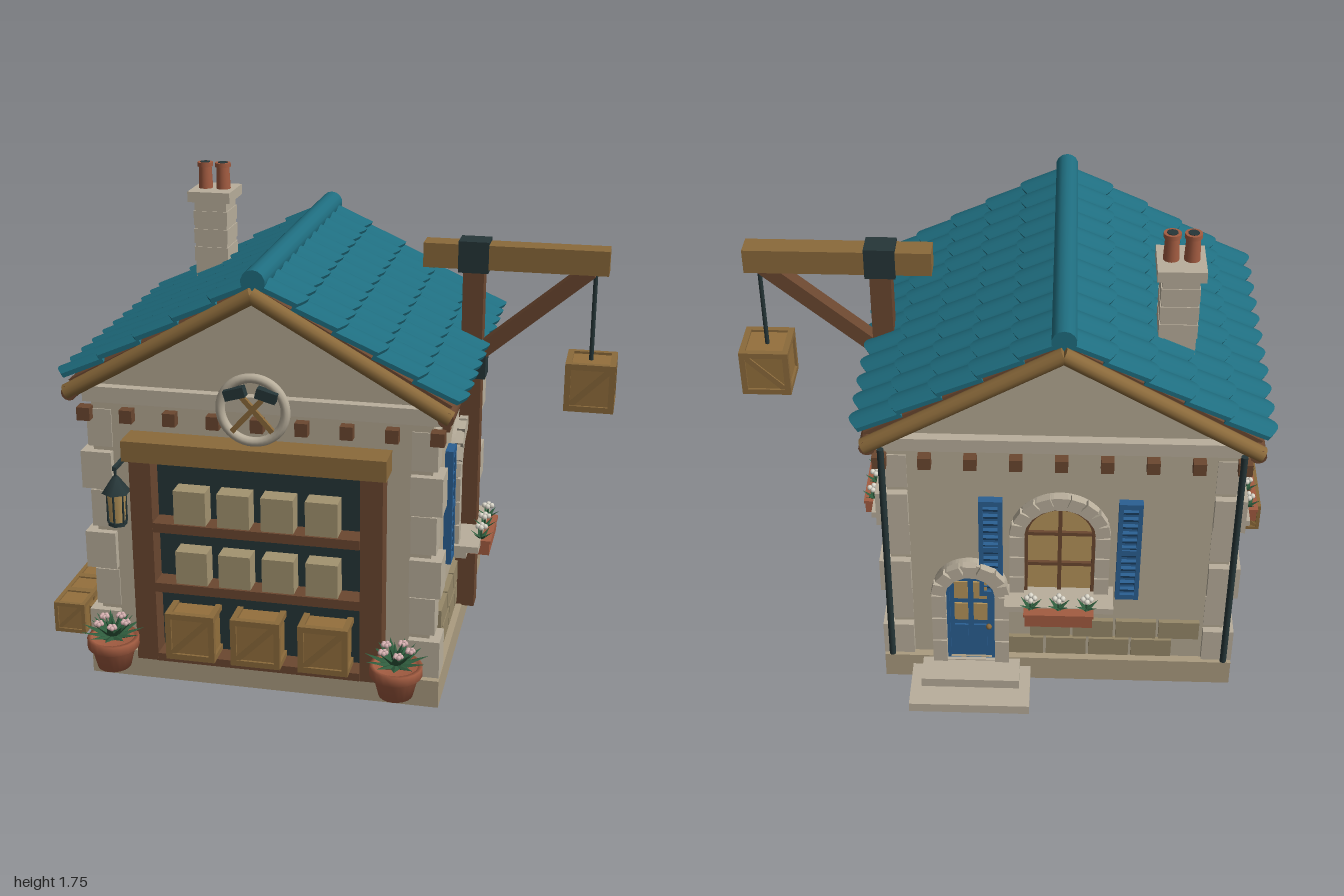
import * as THREE from 'three';

const CX = -0.18; // house centre line
const mat = (color, extra = {}) => new THREE.MeshStandardMaterial({ color, ...extra });
const M = {
  wall: mat(0xb6aa94), trim: mat(0xb9af9c), plinth: mat(0xab9c80), stone: mat(0x978969),
  roof: mat(0x1f6e80, { side: THREE.DoubleSide }), oak: mat(0x8b6a3b), wood: mat(0x6b4730),
  crate: mat(0x94703d), dark: mat(0x263638), blue: mat(0x2a5f92), clay: mat(0xa35c41),
  glass: mat(0xb5945a), parcel: mat(0xa39370), leaf: mat(0x2f5c3d, { flatShading: true }),
  petal: mat(0xd9b3b3), white: mat(0xe0dccf),
};

function add(parent, name, geo, m, x = 0, y = 0, z = 0) {
  const mesh = new THREE.Mesh(geo, m);
  mesh.name = name;
  mesh.position.set(x, y, z);
  parent.add(mesh);
  return mesh;
}
const box = (p, name, m, w, h, d, x, y, z) => add(p, name, new THREE.BoxGeometry(w, h, d), m, x, y, z);
const cyl = (p, name, m, r0, r1, h, x, y, z, n = 16) => add(p, name, new THREE.CylinderGeometry(r0, r1, h, n), m, x, y, z);
function group(parent, name, x = 0, y = 0, z = 0, ry = 0) {
  const g = new THREE.Group();
  g.name = name;
  g.position.set(x, y, z);
  g.rotation.y = ry;
  parent.add(g);
  return g;
}
// straight bar between two points in a plane of constant z
function bar(p, name, m, x0, y0, x1, y1, z, w, d) {
  const b = box(p, name, m, Math.hypot(x1 - x0, y1 - y0), w, d, (x0 + x1) / 2, (y0 + y1) / 2, z);
  b.rotation.z = Math.atan2(y1 - y0, x1 - x0);
  return b;
}
function archPath(P, r, y0, ySpring) {
  const s = new P();
  s.moveTo(-r, y0);
  s.lineTo(r, y0);
  s.lineTo(r, ySpring);
  s.absarc(0, ySpring, r, 0, Math.PI, false);
  s.lineTo(-r, y0);
  return s;
}
function arch(p, name, m, r, inner, y0, ys, depth, z) {
  const s = archPath(THREE.Shape, r, y0, ys);
  if (inner) s.holes.push(archPath(THREE.Path, inner, y0 + 0.004, ys));
  return add(p, name, new THREE.ExtrudeGeometry(s, { depth, bevelEnabled: false, curveSegments: 16 }), m, 0, 0, z);
}
// wedge stones round an arch and blocks down its jambs
function archStones(p, r, y0, ys, n, z) {
  for (let i = 0; i < n; i++) {
    const a = Math.PI * (i + 0.5) / n;
    const b = box(p, 'archStone', M.trim, 0.052, Math.PI * r / n * 0.92, 0.03, Math.cos(a) * r, ys + Math.sin(a) * r, z);
    b.rotation.z = a;
  }
  const h = (ys - y0) / 3;
  for (const s of [-1, 1]) for (let i = 0; i < 3; i++)
    box(p, 'jambStone', M.trim, 0.052, h * 0.94, 0.03, s * r, y0 + h * (i + 0.5), z);
}
function crate(parent, s, x, y, z) {
  const g = group(parent, 'crate', x, y, z), h = s / 2, t = s * 0.12, e = h - t / 2;
  box(g, 'crateCore', M.crate, s * 0.9, s * 0.9, s * 0.9, 0, 0, 0);
  for (const a of [-e, e]) for (const b of [-e, e]) {
    box(g, 'crateRail', M.oak, s, t, t, 0, a, b);
    box(g, 'crateRail', M.oak, t, s, t, a, 0, b);
    box(g, 'crateRail', M.oak, t, t, s, a, b, 0);
  }
  for (const k of [-1, 1]) bar(g, 'crateBrace', M.oak, -e, -e, e, e, k * (h - t * 0.4), t, t * 0.5);
}
// radial tuft of pointed leaves
function tuft(p, n, len, tilt, x, y, z) {
  const geo = new THREE.ConeGeometry(len * 0.22, len, 4);
  geo.translate(0, len / 2, 0);
  geo.scale(1, 1, 0.4);
  for (let i = 0; i < n; i++) {
    const holder = group(p, 'leaf', x, y, z, i / n * Math.PI * 2 + tilt);
    add(holder, 'leafBlade', geo, M.leaf).rotation.x = tilt;
  }
}
function pottedPlant(parent, x) {
  const g = group(parent, 'pottedPlant', x, 0.1, 0.705);
  const pts = [[0, 0], [0.06, 0], [0.08, 0.08], [0.093, 0.08], [0.093, 0.115], [0.078, 0.115], [0.075, 0.1], [0, 0.1]];
  add(g, 'pot', new THREE.LatheGeometry(pts.map(q => new THREE.Vector2(...q)), 20), M.clay);
  tuft(g, 11, 0.12, 1.25, 0, 0.11, 0);
  tuft(g, 9, 0.105, 0.8, 0, 0.11, 0);
  tuft(g, 6, 0.085, 0.35, 0, 0.11, 0);
  for (let i = 0; i < 5; i++) {
    const a = i * 1.257, f = group(g, 'flower', Math.cos(a) * 0.05, 0.175, Math.sin(a) * 0.05);
    for (let k = 0; k < 5; k++)
      add(f, 'petal', new THREE.SphereGeometry(0.009, 6, 4), M.petal, Math.cos(k * 1.257) * 0.011, 0, Math.sin(k * 1.257) * 0.011);
  }
}
// arched window with shutters and a planter, facing local +z
function windowUnit(parent, x, z, ry) {
  const g = group(parent, 'window', x, 0, z, ry);
  arch(g, 'windowSurround', M.trim, 0.17, 0.128, 0.42, 0.71, 0.035, 0);
  archStones(g, 0.151, 0.43, 0.71, 9, 0.03);
  arch(g, 'windowGlass', M.glass, 0.13, 0, 0.42, 0.71, 0.012, 0);
  arch(g, 'windowSash', M.wood, 0.13, 0.113, 0.42, 0.71, 0.03, 0);
  box(g, 'mullion', M.wood, 0.014, 0.4, 0.02, 0, 0.63, 0.014);
  for (const y of [0.57, 0.71]) box(g, 'glazingBar', M.wood, 0.24, 0.014, 0.02, 0, y, 0.014);
  for (const s of [-1, 1]) {
    const sh = group(g, 'shutter', s * 0.245, 0.635, 0.012);
    box(sh, 'shutterPanel', M.blue, 0.07, 0.43, 0.012, 0, 0, 0);
    for (const k of [-1, 1]) box(sh, 'shutterStile', M.blue, 0.016, 0.44, 0.03, k * 0.034, 0, 0.005);
    for (const y of [-0.21, 0, 0.21]) box(sh, 'shutterRail', M.blue, 0.084, 0.022, 0.03, 0, y, 0.005);
    for (let i = 0; i < 12; i++)
      box(sh, 'louvre', M.blue, 0.056, 0.018, 0.012, 0, -0.18 + i * 0.0327, 0.008).rotation.x = 0.5;
  }
  box(g, 'windowSill', M.trim, 0.39, 0.025, 0.12, 0, 0.435, 0.06);
  box(g, 'sillBracket', M.trim, 0.3, 0.045, 0.07, 0, 0.4, 0.035);
  box(g, 'planter', M.clay, 0.24, 0.05, 0.075, 0, 0.41, 0.115);
  box(g, 'planterRim', M.clay, 0.25, 0.012, 0.085, 0, 0.438, 0.115);
  for (const k of [-0.1, 0, 0.1]) {
    tuft(g, 6, 0.055, 0.95, k, 0.442, 0.12);
    cyl(g, 'stem', M.leaf, 0.004, 0.004, 0.05, k, 0.465, 0.12, 5);
    for (let i = 0; i < 4; i++)
      add(g, 'blossom', new THREE.SphereGeometry(0.011, 6, 4), M.white, k + Math.cos(i * 1.57) * 0.014, 0.492, 0.12 + Math.sin(i * 1.57) * 0.014);
  }
}
// one course of barrel tiles: a box bent into bumps with a scalloped lower edge
function tileCourse(len, depth, bumps) {
  const geo = new THREE.BoxGeometry(len, 0.016, depth, 1, 1, bumps * 8), p = geo.attributes.position;
  for (let i = 0; i < p.count; i++) {
    const b = Math.abs(Math.sin((p.getZ(i) / depth + 0.5) * Math.PI * bumps));
    const low = p.getX(i) > 0;
    p.setY(i, p.getY(i) + 0.02 * b + (low ? 0.016 : 0));
    if (low) p.setX(i, p.getX(i) + 0.022 * b - 0.01);
  }
  geo.computeVertexNormals();
  return geo;
}

export function createModel() {
  const root = new THREE.Group();
  root.name = 'workshop';
  const house = group(root, 'house', CX);

  // plinth, walls with gables, cornice
  box(house, 'plinth', M.plinth, 1.29, 0.105, 1.21, 0, 0.0525, -0.005);
  const s = new THREE.Shape([[-0.605, 0.1], [0.605, 0.1], [0.605, 1.13], [0, 1.475], [-0.605, 1.13]].map(q => new THREE.Vector2(...q)));
  add(house, 'walls', new THREE.ExtrudeGeometry(s, { depth: 1.15, bevelEnabled: false }), M.wall, 0, 0, -0.58);
  box(house, 'cornice', M.trim, 1.26, 0.035, 1.19, 0, 1.08, -0.005);
  box(house, 'corniceTop', M.trim, 1.29, 0.03, 1.22, 0, 1.11, -0.005);
  for (let i = 0; i < 9; i++) for (const k of [-1, 1]) {
    const t = -1 + i / 4;
    box(house, 'dentil', M.wood, 0.045, 0.048, 0.045, t * 0.625, 1.02, -0.005 + k * 0.59);
    box(house, 'dentil', M.wood, 0.045, 0.048, 0.045, k * 0.622, 1.02, -0.005 + t * 0.59);
  }
  // corner stones and low stone courses
  for (const sx of [-1, 1]) for (const sz of [-1, 1]) for (let i = 0; i < 6; i++) {
    const o = i % 2 ? 0 : 0.022;
    box(house, 'cornerStone', M.trim, 0.09 + o, 0.14, 0.09 + o, sx * (0.578 + o / 2), 0.187 + i * 0.155, -0.005 + sz * (0.535 + o / 2));
  }
  for (let r = 0; r < 2; r++) for (let i = 0; i < 7; i++) {
    const u = (i - 3) * 0.158 + (r ? 0.03 : -0.03);
    if (Math.abs(u) > 0.46) continue;
    for (const k of [-1, 1]) box(house, 'baseStone', M.stone, 0.03, 0.08, 0.148, k * 0.61, 0.16 + r * 0.09, u);
    if (u < 0.18 || u > 0.46) box(house, 'baseStone', M.stone, 0.148, 0.08, 0.03, u, 0.16 + r * 0.09, -0.583);
  }
  for (const k of [-1, 1]) cyl(house, 'downpipe', M.dark, 0.012, 0.012, 0.96, k * 0.615, 0.6, -0.615, 10);

  // roof: boarded slab, overlapping tile courses, round timber edges
  const run = 0.68, drop = 0.375, pitch = Math.atan2(drop, run), len = Math.hypot(run, drop), rows = 5;
  for (const side of [0, Math.PI]) {
    const slope = group(house, 'roofSlope', 0, 1.515, -0.003, side);
    const tilt = group(slope, 'tiles');
    tilt.rotation.z = -pitch;
    box(tilt, 'roofBoards', M.wood, len - 0.02, 0.02, 1.21, len / 2, -0.012, 0);
    for (let i = 0; i < rows; i++)
      add(tilt, 'tileCourse', tileCourse(len / rows + 0.02, 1.225, 11), M.roof, len / rows * (i + 0.5), 0.004, 0);
    const z = 0.633;
    for (const e of [-z, z]) {
      const b = cyl(slope, 'bargeboard', M.oak, 0.028, 0.028, 0.775, 0.333, -0.215, e, 12);
      b.rotation.z = Math.PI / 2 - Math.atan2(0.38, 0.665);
    }
    cyl(slope, 'eaveBeam', M.wood, 0.028, 0.028, 1.3, 0.655, -0.405, 0, 12).rotation.x = Math.PI / 2;
  }
  const ridge = cyl(house, 'ridgeCap', M.roof, 0.042, 0.042, 1.24, 0, 1.532, -0.003, 14);
  ridge.rotation.x = Math.PI / 2;

  // chimney
  const chimney = group(root, 'chimney', -0.565, 0, -0.275);
  box(chimney, 'stack', M.trim, 0.125, 0.42, 0.135, 0, 1.4, 0);
  for (const y of [1.4, 1.47, 1.54]) box(chimney, 'stackBand', M.trim, 0.132, 0.055, 0.142, 0, y, 0);
  box(chimney, 'stackCap', M.trim, 0.165, 0.04, 0.18, 0, 1.625, 0);
  for (const k of [-1, 1]) {
    cyl(chimney, 'chimneyPot', M.clay, 0.024, 0.028, 0.09, k * 0.035, 1.685, 0);
    cyl(chimney, 'potRim', M.clay, 0.03, 0.03, 0.016, k * 0.035, 1.736, 0);
    cyl(chimney, 'potMouth', M.dark, 0.019, 0.019, 0.002, k * 0.035, 1.745, 0);
  }

  // shop front with shelves and goods
  const front = group(root, 'shopFront', CX);
  box(front, 'openingBack', M.dark, 0.75, 0.78, 0.02, 0, 0.495, 0.567);
  for (const k of [-1, 1]) box(front, 'doorPost', M.wood, 0.078, 0.79, 0.085, k * 0.41, 0.5, 0.61);
  box(front, 'lintel', M.oak, 0.93, 0.075, 0.11, 0, 0.922, 0.625);
  for (const y of [0.4, 0.632]) {
    box(front, 'shelf', M.wood, 0.74, 0.035, 0.085, 0, y, 0.612);
    for (let i = 0; i < 4; i++) box(front, 'parcel', M.parcel, 0.115, 0.125, 0.075, -0.237 + i * 0.157, y + 0.08, 0.608);
  }
  box(front, 'bottomShelf', M.wood, 0.74, 0.03, 0.085, 0, 0.12, 0.612);
  for (const x of [-0.24, 0, 0.245]) crate(front, 0.18, x, 0.225, 0.597);

  // round emblem with crossed hammers
  const sign = group(front, 'emblem', 0, 1.095, 0.645);
  add(sign, 'emblemRing', new THREE.TorusGeometry(0.114, 0.017, 10, 40), M.trim);
  for (const k of [-1, 1]) {
    bar(sign, 'hammerHandle', M.oak, k * -0.07, -0.075, k * 0.055, 0.065, 0.008 + k * 0.006, 0.018, 0.014);
    bar(sign, 'hammerHead', M.dark, k * 0.02, 0.075, k * 0.09, 0.055, 0.022, 0.036, 0.034);
  }

  // lantern
  const lamp = group(root, 'lantern', -0.68, 0, 0.65);
  box(lamp, 'lampBracket', M.dark, 0.014, 0.014, 0.1, 0, 0.845, -0.04);
  cyl(lamp, 'lampHanger', M.dark, 0.005, 0.005, 0.05, 0, 0.825, 0, 6);
  cyl(lamp, 'lampRoof', M.dark, 0.01, 0.052, 0.06, 0, 0.785, 0, 6);
  cyl(lamp, 'lampGlass', M.glass, 0.036, 0.028, 0.11, 0, 0.7, 0, 6);
  cyl(lamp, 'lampBase', M.dark, 0.034, 0.034, 0.014, 0, 0.638, 0, 6);
  for (let i = 0; i < 6; i++)
    cyl(lamp, 'lampBar', M.dark, 0.004, 0.004, 0.115, Math.sin(i * Math.PI / 3) * 0.033, 0.7, Math.cos(i * Math.PI / 3) * 0.033, 5);

  for (const x of [-0.7, 0.33]) pottedPlant(root, x);
  windowUnit(root, CX + 0.605, 0, Math.PI / 2);
  windowUnit(root, CX - 0.605, 0, -Math.PI / 2);
  windowUnit(root, CX, -0.58, Math.PI);

  // back door with steps
  const door = group(root, 'backDoor', 0.14, 0, -0.58, Math.PI);
  arch(door, 'doorSurround', M.trim, 0.135, 0.093, 0.1, 0.435, 0.045, 0);
  archStones(door, 0.114, 0.105, 0.435, 7, 0.045);
  arch(door, 'doorLeaf', M.blue, 0.095, 0, 0.1, 0.435, 0.02, 0);
  arch(door, 'doorFrame', M.blue, 0.094, 0.076, 0.1, 0.435, 0.032, 0);
  for (const k of [-1, 1]) for (const y of [0.33, 0.435]) box(door, 'doorPane', M.glass, 0.05, 0.08, 0.008, k * 0.035, y, 0.022);
  for (const k of [-1, 1]) box(door, 'doorPanel', M.blue, 0.05, 0.13, 0.012, k * 0.035, 0.2, 0.022);
  add(door, 'doorKnob', new THREE.SphereGeometry(0.011, 10, 8), M.oak, 0.066, 0.27, 0.04);
  box(door, 'lowerStep', M.trim, 0.44, 0.038, 0.23, 0, 0.042, 0.12);
  box(door, 'upperStep', M.trim, 0.36, 0.038, 0.14, 0, 0.08, 0.075);

  // hoist with hanging crate
  const hoist = group(root, 'hoist', 0, 0, -0.05);
  box(hoist, 'hoistPost', M.wood, 0.076, 1.4, 0.08, 0.473, 0.8, 0);
  box(hoist, 'hoistBeam', M.oak, 0.665, 0.09, 0.085, 0.622, 1.493, 0);
  box(hoist, 'topClamp', M.dark, 0.11, 0.115, 0.095, 0.472, 1.493, 0);
  box(hoist, 'lowerClamp', M.dark, 0.09, 0.09, 0.09, 0.482, 1.08, 0);
  bar(hoist, 'hoistBrace', M.wood, 0.49, 1.12, 0.89, 1.46, 0, 0.055, 0.06);
  cyl(hoist, 'rope', M.dark, 0.008, 0.008, 0.34, 0.907, 1.29, 0, 8);
  crate(hoist, 0.18, 0.91, 1.042, 0.005);

  // crates by the side wall
  for (const x of [-0.94, -0.8]) for (let i = 0; i < 3; i++) crate(root, 0.12, x, 0.165, 0.22 + i * 0.12);
  return root;
}
